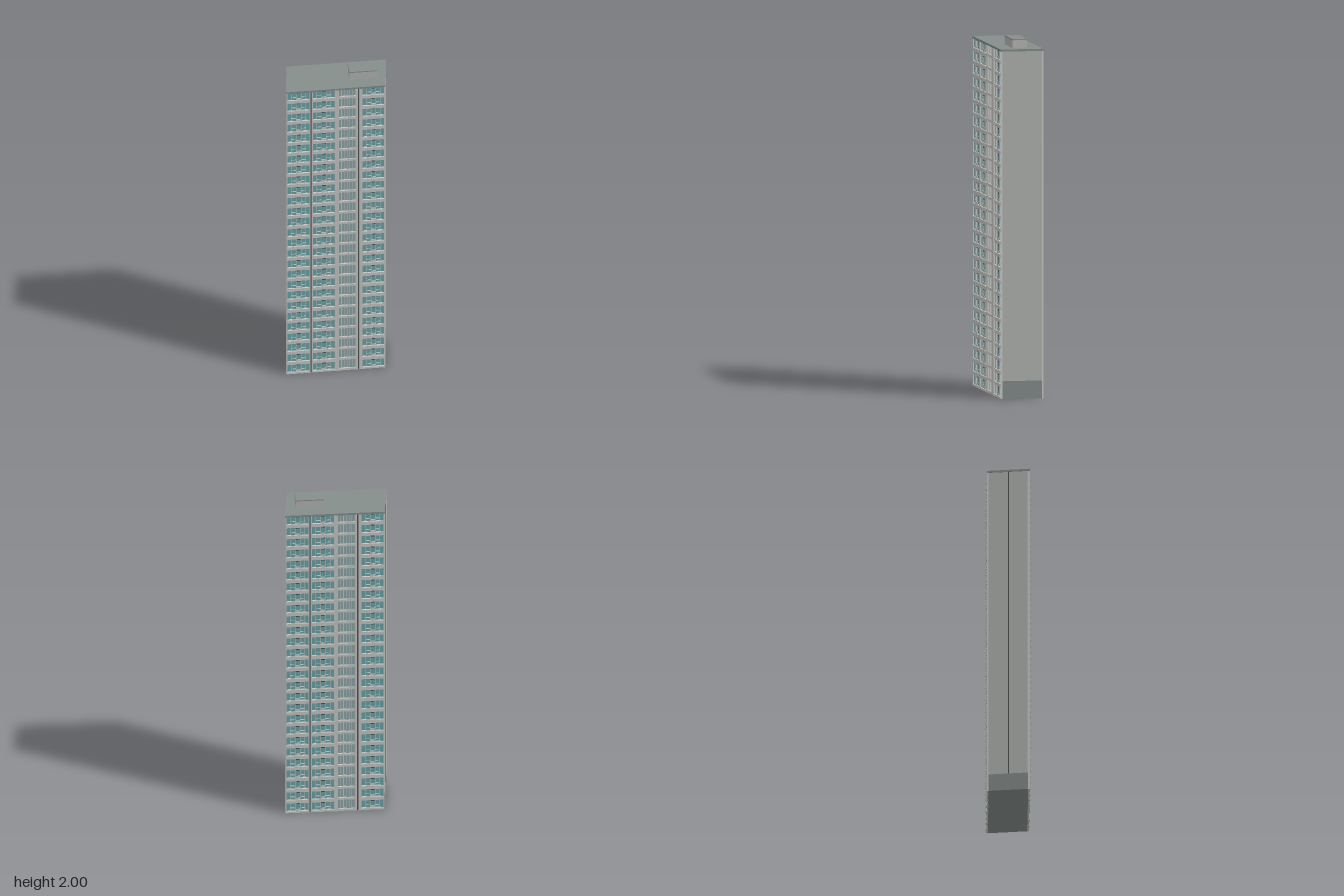
import * as THREE from 'three';
import { mergeGeometries } from 'three/addons/utils/BufferGeometryUtils.js';

const mat = (name, color) => {
  const m = new THREE.MeshStandardMaterial({ color });
  m.name = name;
  return m;
};

export function createModel() {
  const M = {
    frame: mat('pale concrete frame', 0xc6c6c4),
    wall: mat('grey end wall', 0xb3b5b2),
    roof: mat('roof and plinth grey', 0x868e8c),
    glass: mat('teal glass', 0x6aa3a8),
    coreGlass: mat('grey stair glass', 0x8ba5a8),
    dark: mat('dark recess', 0x4c5453),
  };
  const model = new THREE.Group();
  model.name = 'towerBlock';

  // Skewed footprint: corners A, D and their opposites
  const A = new THREE.Vector2(-0.303, -0.08), D = new THREE.Vector2(0.137, 0.25);
  const along = D.clone().sub(A), L = along.length();
  along.normalize();
  const across = D.clone().negate().sub(A).normalize();
  const H = 1.95, FLOORS = 27, FH = H / FLOORS;

  const add = (geo, material, name, parent = model) => {
    const mesh = new THREE.Mesh(geo, material);
    mesh.name = name;
    parent.add(mesh);
    return mesh;
  };

  // Upright prism on the footprint, set back from the long sides and grown at the ends
  const prism = (inset, grow, y0, y1, material, name) => {
    const a = A.clone().addScaledVector(across, inset).addScaledVector(along, -grow);
    const d = D.clone().addScaledVector(across, inset).addScaledVector(along, grow);
    const pts = [a, d, a.clone().negate(), d.clone().negate()].map(p => new THREE.Vector2(p.x, -p.y));
    const geo = new THREE.ExtrudeGeometry(new THREE.Shape(pts), { depth: y1 - y0, bevelEnabled: false });
    geo.rotateX(-Math.PI / 2).translate(0, y0, 0);
    return add(geo, material, name);
  };
  prism(0.009, 0, 0.01, 1.94, M.wall, 'body');
  prism(0.009, 0.002, 0, 0.1, M.roof, 'plinth');
  prism(0, 0.002, 1.938, H, M.roof, 'roof');

  // Joint down the middle of one end wall
  const yaw = -Math.atan2(along.y, along.x);
  const mid = A.clone().sub(D).multiplyScalar(0.5);
  const joint = add(new THREE.BoxGeometry(0.005, 1.84, 0.004), M.dark, 'endWallJoint');
  joint.position.set(mid.x, 1.02, mid.y);
  joint.rotation.y = Math.atan2(-along.x, -along.y);
  joint.rotation.y = Math.atan2(across.y, -across.x);
  joint.rotation.y = Math.atan2(-across.y, across.x);

  // Facade pieces, gathered by part: x along the wall, z outward
  const facade = () => {
    const parts = {};
    const box = (part, x0, x1, y0, y1, z0, z1) => {
      const g = new THREE.BoxGeometry(x1 - x0, y1 - y0, z1 - z0);
      g.translate((x0 + x1) / 2, (y0 + y1) / 2, (z0 + z1) / 2);
      (parts[part] ??= []).push(g);
    };
    const top = 1.938;

    // Piers between bays, two of them with a dark slot
    for (const [u0, u1] of [[0, 0.012], [0.235, 0.245], [0.257, 0.267], [0.49, 0.53],
      [0.7, 0.722], [0.738, 0.77], [0.988, 1]])
      box('piers', u0 * L, u1 * L, 0, top, -0.012, 0.001);
    for (const [u0, u1] of [[0.245, 0.257], [0.722, 0.738]])
      box('slots', u0 * L, u1 * L, 0, top, -0.012, -0.005);

    // Window bays, each with full-height glass and mullions
    const bays = [[0.012, 0.235], [0.267, 0.49], [0.77, 0.988]];
    for (const [u0, u1] of bays) {
      const x0 = u0 * L, w = (u1 - u0) * L;
      box('windows', x0, x0 + w, 0, top, -0.012, -0.007);
      for (const t of [0.18, 0.4, 0.62, 0.83])
        box('mullions', x0 + t * w - 0.0013, x0 + t * w + 0.0013, 0, top, -0.008, -0.004);
      for (let i = 0; i < FLOORS; i++) {
        const y = i * FH;
        box('spandrels', x0, x0 + w, y, y + 0.011, -0.01, 0);
        box('spandrels', x0, x0 + w, y + 0.063, Math.min(y + FH, top), -0.01, 0);
        // Low panels, transoms and small projecting ledges
        box('transoms', x0 + 0.18 * w, x0 + 0.4 * w, y + 0.028, y + 0.031, -0.008, -0.004);
        box('transoms', x0 + 0.62 * w, x0 + 0.83 * w, y + 0.028, y + 0.031, -0.008, -0.004);
        box('sillPanels', x0 + 0.4 * w, x0 + 0.62 * w, y + 0.011, y + 0.022, -0.008, -0.004);
        box('ledges', x0 + 0.04 * w, x0 + 0.22 * w, y + 0.009, y + 0.014, -0.008, 0.004);
        box('ledges', x0 + 0.68 * w, x0 + 0.9 * w, y + 0.009, y + 0.014, -0.008, 0.004);
        box('vents', x0 + 0.42 * w, x0 + 0.6 * w, y + 0.054, y + 0.061, -0.008, -0.005);
      }
    }

    // Stair core bay with closely spaced mullions
    const c0 = 0.53 * L, cw = 0.17 * L;
    box('stairWindows', c0, c0 + cw, 0, top, -0.012, -0.007);
    for (let k = 1; k < 6; k++)
      box('mullions', c0 + (k * cw) / 6 - 0.0016, c0 + (k * cw) / 6 + 0.0016, 0, top, -0.008, -0.003);
    for (let i = 0; i < FLOORS; i++) {
      const y = i * FH;
      box('spandrels', c0, c0 + cw, y, y + 0.014, -0.01, -0.001);
      box('ledges', c0 + 0.1 * cw, c0 + 0.5 * cw, y + 0.012, y + 0.016, -0.008, 0.003);
    }

    const colours = { slots: M.dark, vents: M.dark, windows: M.glass, stairWindows: M.coreGlass };
    const group = new THREE.Group();
    for (const [part, list] of Object.entries(parts))
      add(mergeGeometries(list), colours[part] ?? M.frame, part, group);
    return group;
  };

  // The two long sides match under a half turn
  const front = facade();
  front.name = 'frontFacade';
  front.position.set(A.x, 0, A.y);
  front.rotation.y = yaw;
  const back = front.clone();
  back.name = 'backFacade';
  back.position.set(-A.x, 0, -A.y);
  back.rotation.y = yaw + Math.PI;
  model.add(front, back);

  // Rooftop plant room
  const plant = new THREE.Group();
  plant.name = 'plantRoom';
  add(new THREE.BoxGeometry(0.155, 0.044, 0.082), M.wall, 'plantRoomWalls', plant).position.y = 0.022;
  add(new THREE.BoxGeometry(0.157, 0.006, 0.084), M.roof, 'plantRoomRoof', plant).position.y = 0.047;
  plant.position.set(0.119, H, 0.088);
  plant.rotation.y = yaw;
  model.add(plant);

  return model;
}
